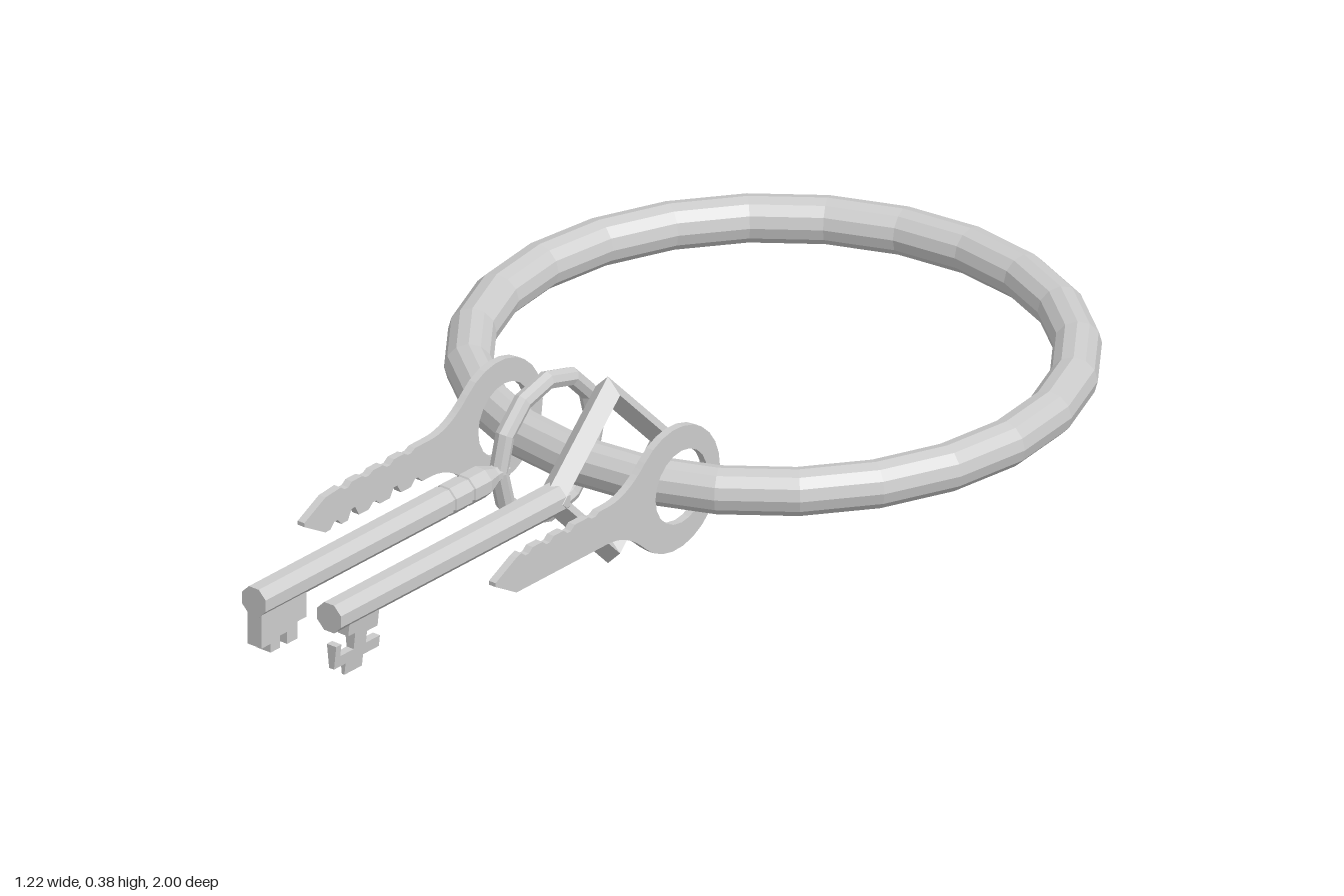
import * as THREE from 'three';

const Y = 0.195; // height of the common axis of ring and keys
const steel = new THREE.MeshStandardMaterial({ color: 0xcccccc, flatShading: true });

function add(parent, name, geometry, x = 0, y = 0, z = 0) {
  const mesh = new THREE.Mesh(geometry, steel);
  mesh.name = name;
  mesh.position.set(x, y, z);
  parent.add(mesh);
}

// Plate drawn in the (z, y) plane, with its thickness along x
function plate(shape, thickness) {
  return new THREE.ExtrudeGeometry(shape, { depth: thickness, bevelEnabled: false, curveSegments: 10 })
    .translate(0, 0, -thickness / 2).rotateY(-Math.PI / 2);
}

const polygon = (points) => new THREE.Shape(points.map(([z, y]) => new THREE.Vector2(z, y)));

// Eight-sided rod along z from [z, radius] pairs, listed back to front
function rod(profile) {
  const points = profile.map(([z, r]) => new THREE.Vector2(r, z));
  return new THREE.LatheGeometry(points, 8, Math.PI / 8).rotateX(Math.PI / 2);
}

// Flat key: round bow with a hole, flared neck, blade with small notches
function flatKey(name, x, length, topNotches, bottomNotches) {
  const key = new THREE.Group();
  key.name = name;
  key.position.set(x, Y, 0);
  const c = 0.145, r = 0.125, a = 0.78, top = 0.038;
  const s = new THREE.Shape();
  s.absarc(c, 0, r, a, 2 * Math.PI - a, false);
  s.quadraticCurveTo(0.285, -top, 0.34, -top);
  for (const [z, d] of bottomNotches) {
    s.lineTo(z - 0.016, -top);
    s.lineTo(z - 0.005, -top + d);
    s.lineTo(z + 0.005, -top + d);
    s.lineTo(z + 0.016, -top);
  }
  s.lineTo(length - 0.06, -top);
  s.lineTo(length, -0.004);
  s.lineTo(length, 0.004);
  s.lineTo(length - 0.06, top - 0.004);
  for (const [z, d] of [...topNotches].reverse()) {
    s.lineTo(z + 0.016, top);
    s.lineTo(z + 0.005, top - d);
    s.lineTo(z - 0.005, top - d);
    s.lineTo(z - 0.016, top);
  }
  s.lineTo(0.34, top);
  s.quadraticCurveTo(0.285, top, c + r * Math.cos(a), r * Math.sin(a));
  const hole = new THREE.Path();
  hole.absarc(0.13, 0, 0.074, 0, 2 * Math.PI, true);
  s.holes.push(hole);
  add(key, 'flatKeyBody', plate(s, 0.016));
  return key;
}

// Round-shafted key: faceted ring bow, rod and bit
function barrelKey(name, x, bow, shaft, bit) {
  const key = new THREE.Group();
  key.name = name;
  key.position.set(x, Y, 0);
  add(key, 'bow', bow.rotateY(-Math.PI / 2), 0, 0, 0.165);
  add(key, 'shaft', shaft);
  add(key, 'bit', bit);
  return key;
}

export function createModel() {
  const group = new THREE.Group();

  // Large carrying ring
  const ring = new THREE.TorusGeometry(0.563, 0.0455, 12, 24).rotateX(Math.PI / 2);
  add(group, 'keyRing', ring, 0, Y, -0.392);

  // Thin flat keys on both outer sides
  group.add(flatKey('rightFlatKey', -0.215, 0.70,
    [[0.4, 0.006], [0.46, 0.008], [0.52, 0.006], [0.58, 0.008]],
    [[0.38, 0.012], [0.44, 0.018], [0.5, 0.01], [0.56, 0.02], [0.61, 0.012]]));
  group.add(flatKey('leftFlatKey', 0.213, 0.66,
    [[0.38, 0.006], [0.45, 0.009], [0.51, 0.009], [0.57, 0.009]], []));

  // Key with a rounded bow, collared shaft and stepped bit
  const steppedBit = plate(polygon([
    [0.87, 0], [0.87, -0.075], [0.895, -0.075], [0.895, -0.11], [0.925, -0.11],
    [0.925, -0.085], [0.945, -0.085], [0.945, -0.11], [0.972, -0.11],
    [0.972, -0.092], [0.998, -0.092], [0.998, 0],
  ]), 0.034);
  group.add(barrelKey('roundBowKey', -0.075,
    new THREE.TorusGeometry(0.137, 0.0185, 8, 12),
    rod([[0.285, 0], [0.285, 0.016], [0.32, 0.018], [0.355, 0.031], [0.4, 0.031],
      [0.402, 0.028], [0.408, 0.028], [0.41, 0.031], [0.455, 0.031], [0.457, 0.028],
      [0.463, 0.028], [0.465, 0.031], [1, 0.031], [1, 0]]),
    steppedBit));

  // Key with a diamond bow and a cross-shaped bit tapering downwards
  const crossBit = plate(polygon([
    [0.835, 0], [0.835, -0.06], [0.865, -0.06], [0.865, -0.085], [0.825, -0.085],
    [0.825, -0.108], [0.87, -0.108], [0.87, -0.132], [0.92, -0.132], [0.92, -0.108],
    [0.953, -0.108], [0.953, -0.06], [0.938, -0.06], [0.938, -0.085],
    [0.9, -0.085], [0.9, -0.05], [0.92, -0.05], [0.92, 0],
  ]), 0.036);
  const p = crossBit.attributes.position;
  for (let i = 0; i < p.count; i++) p.setX(i, p.getX(i) * (1 + p.getY(i) / 0.16));
  crossBit.computeVertexNormals();
  group.add(barrelKey('diamondBowKey', 0.073,
    new THREE.TorusGeometry(0.163, 0.0295, 4, 4),
    rod([[0.305, 0], [0.305, 0.031], [0.96, 0.031], [0.96, 0]]),
    crossBit));

  return group;
}
